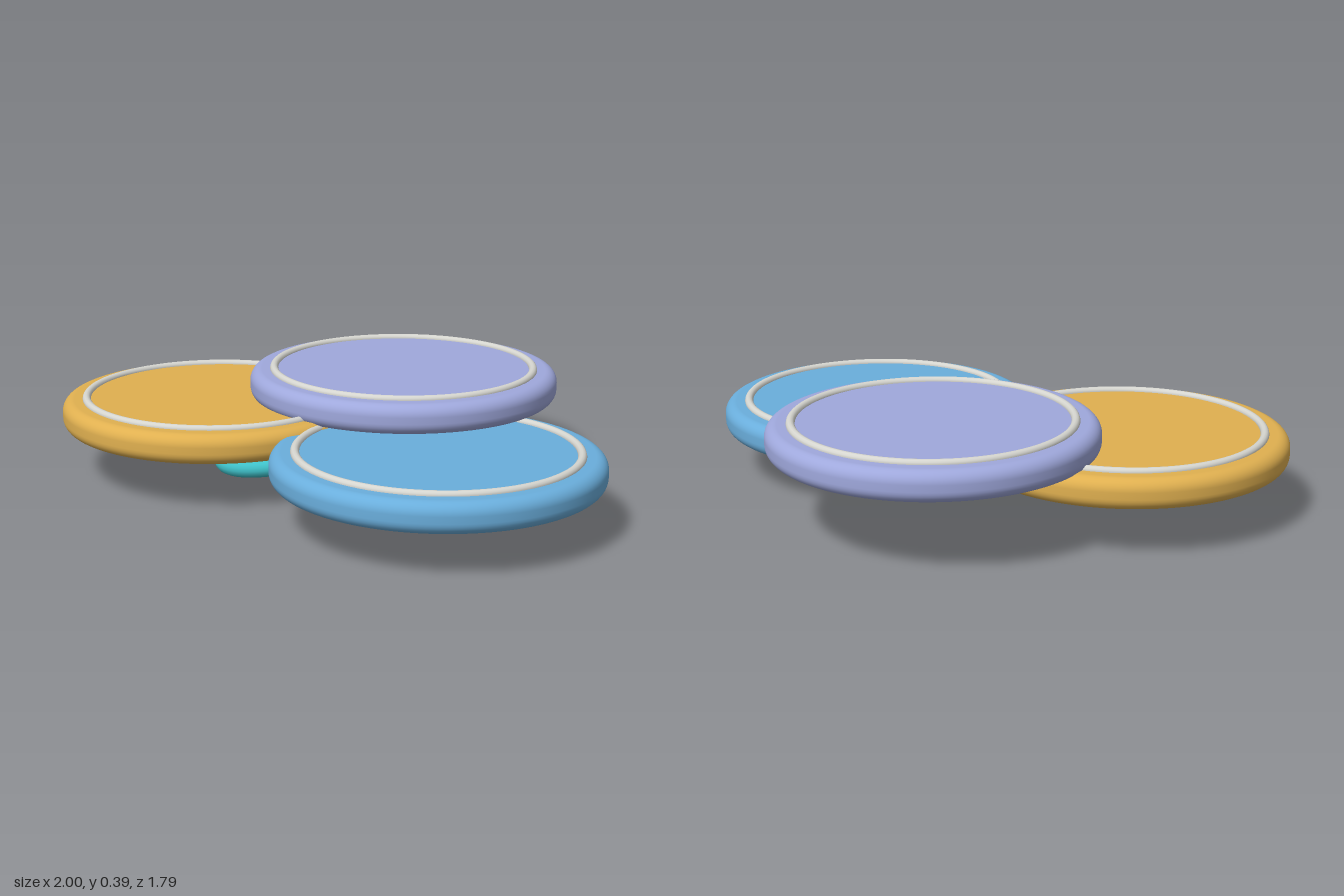
import * as THREE from 'three';

const DISC_RADIUS = 0.56, THICKNESS = 0.107, CORNER = 0.042;

function material(name, color) {
  const m = new THREE.MeshStandardMaterial({ color });
  m.name = name;
  return m;
}

// Flat disc with a rounded rim, bottom at y = 0
function discGeometry() {
  const points = [new THREE.Vector2(0, 0), new THREE.Vector2(0.46, 0)];
  const arc = (cy, from) => {
    for (let i = 0; i <= 8; i++) {
      const a = from + (i / 8) * Math.PI / 2;
      points.push(new THREE.Vector2(DISC_RADIUS - CORNER + CORNER * Math.cos(a), cy + CORNER * Math.sin(a)));
    }
  };
  arc(CORNER, -Math.PI / 2);
  arc(THICKNESS - CORNER, 0);
  points.push(new THREE.Vector2(0.46, THICKNESS), new THREE.Vector2(0, THICKNESS));
  return new THREE.LatheGeometry(points, 96);
}

// Closed ellipse spanned by two half-axis vectors
class EllipseLoop extends THREE.Curve {
  constructor(center, major, minor) {
    super();
    this.center = new THREE.Vector3(...center);
    this.major = new THREE.Vector3(...major);
    this.minor = new THREE.Vector3(...minor);
  }
  getPoint(t, target = new THREE.Vector3()) {
    const a = t * Math.PI * 2;
    return target.copy(this.center)
      .addScaledVector(this.major, Math.cos(a))
      .addScaledVector(this.minor, Math.sin(a));
  }
}

export function createModel() {
  const model = new THREE.Group();
  model.name = 'overlappingDiscs';
  const silver = material('silver', 0xd6d6d0);
  const teal = material('teal', 0x3fc1c9);

  // Three overlapping discs, each with a thin raised ring on top
  const disc = discGeometry();
  const trim = new THREE.TorusGeometry(0.473, 0.015, 12, 96).rotateX(-Math.PI / 2);
  const discs = [
    ['goldDisc', material('gold', 0xe0b050), -0.44, 0.175, -0.16],
    ['blueDisc', material('blue', 0x6aaedc), 0.435, 0.153, 0.335],
    ['lavenderDisc', material('lavender', 0x9fa8dc), 0.218, 0.266, -0.338],
  ];
  for (const [name, mat, x, y, z] of discs) {
    const group = new THREE.Group();
    group.name = name;
    group.position.set(x, y, z);
    const body = new THREE.Mesh(disc, mat);
    body.name = 'discBody';
    const ring = new THREE.Mesh(trim, silver);
    ring.name = 'trimRing';
    ring.position.y = THICKNESS;
    group.add(body, ring);
    model.add(group);
  }

  // Two tilted oval loops underneath
  const loops = [
    ['rightLoop', [-0.123, 0.113, -0.23], [0.29, 0.07, -0.105], [0.052, -0.035, 0.147]],
    ['leftLoop', [0.29, 0.102, 0.13], [0.273, 0.066, 0.133], [-0.066, -0.017, 0.135]],
  ];
  for (const [name, center, major, minor] of loops) {
    const tube = new THREE.TubeGeometry(new EllipseLoop(center, major, minor), 80, 0.033, 16, true);
    const loop = new THREE.Mesh(tube, teal);
    loop.name = name;
    model.add(loop);
  }
  return model;
}
